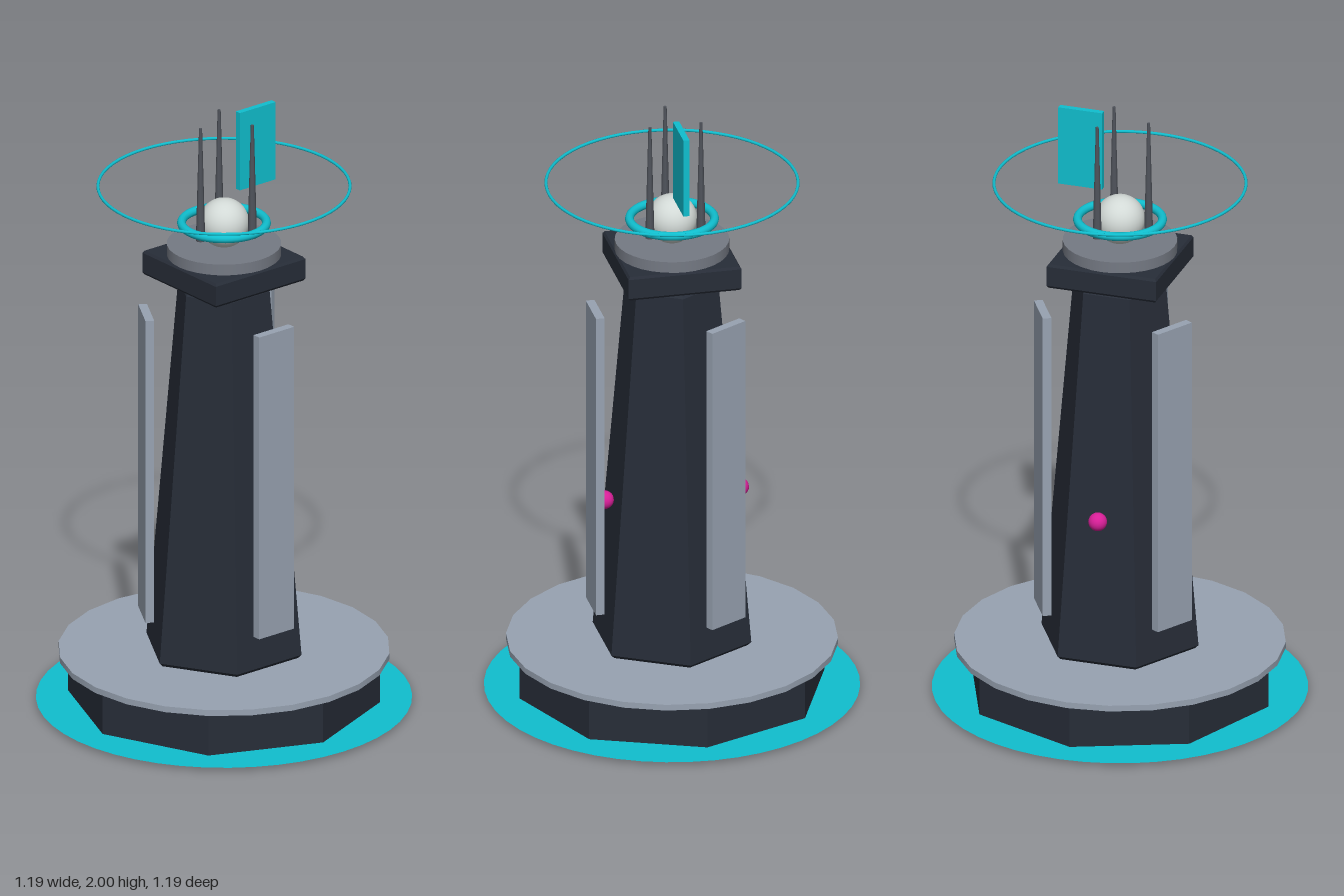
import * as THREE from 'three';

const mat = (name, color, extra = {}) => {
  const m = new THREE.MeshStandardMaterial({ color, ...extra });
  m.name = name;
  return m;
};

// Faceted prism with small bevels on its top and bottom rims
function prism(sides, rBottom, rTop, y0, y1, bevel) {
  const points = [
    [0, y0], [rBottom - bevel, y0], [rBottom, y0 + bevel],
    [rTop, y1 - bevel], [rTop - bevel, y1], [0, y1],
  ].map(([x, y]) => new THREE.Vector2(x, y));
  const g = new THREE.LatheGeometry(points, sides).toNonIndexed();
  g.computeVertexNormals();
  return g;
}

export function createModel() {
  const model = new THREE.Group();
  model.name = 'beaconTower';

  const dark = mat('dark slate', 0x272d38);
  const panel = mat('pale steel', 0x98a3b2);
  const grey = mat('mid grey', 0x757a84);
  const spike = mat('spike grey', 0x50545c);
  const cyan = mat('cyan', 0x10bfcf);
  const glow = mat('cyan ground', 0x10bfcf, { side: THREE.DoubleSide });
  const pink = mat('magenta', 0xd81f98);
  const white = mat('pearl', 0xd2d9d6);

  const add = (name, geometry, material, x = 0, y = 0, z = 0) => {
    const mesh = new THREE.Mesh(geometry, material);
    mesh.name = name;
    mesh.position.set(x, y, z);
    model.add(mesh);
    return mesh;
  };

  // Base with its deck and the flat ring on the ground
  add('base', prism(8, 0.497, 0.497, 0, 0.16, 0.01), dark);
  add('deck', new THREE.CylinderGeometry(0.527, 0.527, 0.02, 24), panel, 0, 0.17);
  add('groundRing', new THREE.RingGeometry(0.44, 0.597, 48), glow, 0, 0.012).rotation.x = -Math.PI / 2;

  // Tapered six-sided tower and square cap
  add('tower', prism(6, 0.263, 0.155, 0.18, 1.435, 0.012), dark);
  add('cap', prism(4, 0.26, 0.26, 1.448, 1.53, 0.008), dark).rotation.y = Math.PI / 4;
  add('capDisc', new THREE.CylinderGeometry(0.182, 0.182, 0.037, 32), grey, 0, 1.548);

  // Three upright panels standing off the tower
  for (let i = 0; i < 3; i++) {
    const a = (i * Math.PI * 2) / 3;
    const p = add('sidePanel', new THREE.BoxGeometry(0.028, 1.035, 0.143), panel,
      0.25 * Math.cos(a), 0.827, -0.25 * Math.sin(a));
    p.rotation.y = a;
  }

  // Round lamps on both sides
  for (const s of [-1, 1]) {
    add(s > 0 ? 'leftLamp' : 'rightLamp', new THREE.SphereGeometry(0.03, 20, 14), pink, s * 0.22, 0.677, 0);
  }

  // Orb and the two hoops around it
  add('orb', new THREE.SphereGeometry(0.08, 32, 20), white, 0, 1.637);
  add('orbRing', new THREE.TorusGeometry(0.135, 0.014, 12, 48), cyan, 0, 1.636).rotation.x = Math.PI / 2;
  add('halo', new THREE.TorusGeometry(0.4, 0.005, 8, 64), cyan, 0, 1.761).rotation.x = Math.PI / 2;

  // Three thin antennas
  for (let i = 0; i < 3; i++) {
    const a = (i * Math.PI * 2) / 3;
    add('antenna', new THREE.CylinderGeometry(0.005, 0.015, 0.385, 8), spike,
      0.096 * Math.sin(a), 1.792, 0.096 * Math.cos(a));
  }

  // Upright fin at the back
  add('fin', new THREE.BoxGeometry(0.02, 0.265, 0.147), cyan, 0, 1.8675, -0.13);

  return model;
}
